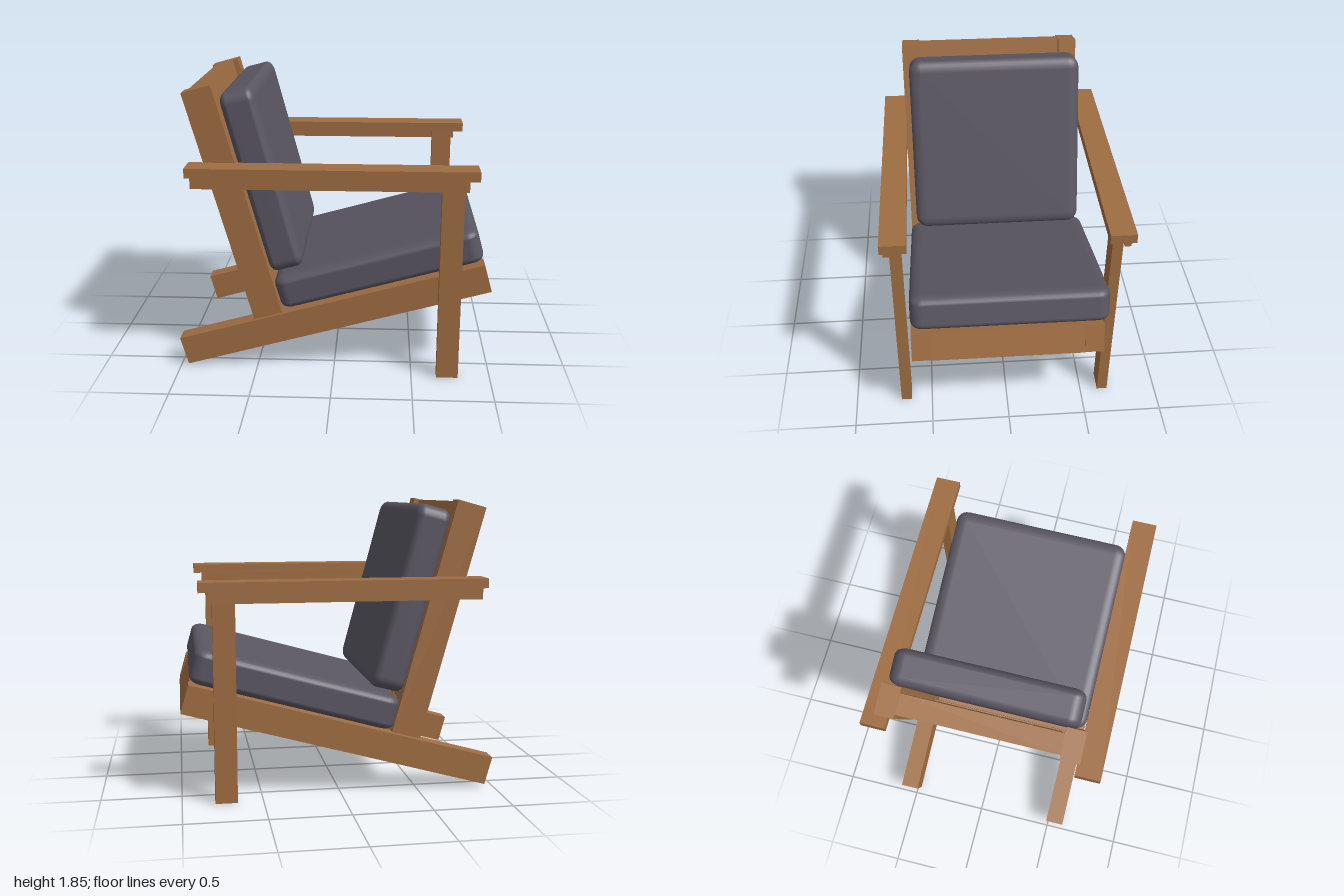
import * as THREE from 'three';
import { RoundedBoxGeometry } from 'three/addons/geometries/RoundedBoxGeometry.js';

export function createModel() {
  const chair = new THREE.Group();
  chair.name = 'loungeChair';

  const wood = new THREE.MeshStandardMaterial({ color: 0x9f6d42 });
  wood.name = 'warm wood';
  const fabric = new THREE.MeshStandardMaterial({ color: 0x5a5662 });
  fabric.name = 'grey fabric';

  // Box given by its extents along each axis
  function plank(parent, name, [x0, x1], [y0, y1], [z0, z1]) {
    const mesh = new THREE.Mesh(new THREE.BoxGeometry(x1 - x0, y1 - y0, z1 - z0), wood);
    mesh.position.set((x0 + x1) / 2, (y0 + y1) / 2, (z0 + z1) / 2);
    mesh.name = name;
    parent.add(mesh);
    return mesh;
  }

  function tiltedFrame(name, x, y, angle) {
    const group = new THREE.Group();
    group.name = name;
    group.position.set(x, y, 0.006);
    group.rotation.z = angle;
    chair.add(group);
    return group;
  }

  const sides = [[0.482, 0.6], [-0.6, -0.482]];
  const inner = [-0.482, 0.482];
  const slatZ = [-1.5, -0.5, 0.5, 1.5].map((i) => [i * 0.232 - 0.1025, i * 0.232 + 0.1025]);

  // Seat frame: long sloping rails that double as the rear feet
  const seat = tiltedFrame('seatFrame', -0.002, 0.371, 0.273);
  for (const z of sides) plank(seat, 'seatRail', [-1.012, 1.012], [-0.0925, 0.0925], z);
  const frontBoard = plank(seat, 'seatFrontBoard', [0.89, 1.008], [-0.098, 0.0915], inner);
  frontBoard.rotation.z = 0.06;
  plank(seat, 'seatRearBoard', [-0.44, -0.325], [-0.0925, 0.0925], inner);
  for (const z of slatZ) plank(seat, 'seatSlat', [-0.325, 0.89], [-0.04, 0.02], z);

  // Reclined back frame
  const back = tiltedFrame('backFrame', -0.624, 1.0925, 0.27);
  for (const z of sides) plank(back, 'backPost', [-0.0935, 0.0935], [-0.76, 0.76], z);
  plank(back, 'backTopRail', [-0.068, 0.057], [0.575, 0.758], inner);
  plank(back, 'backBottomRail', [-0.068, 0.057], [-0.758, -0.575], inner);
  for (const z of slatZ) plank(back, 'backSlat', [-0.03, 0.048], [-0.575, 0.575], z);

  // Arms and front legs
  for (const s of [1, -1]) {
    const span = (a, b) => (s > 0 ? [a, b] : [-b, -a]);
    plank(chair, 'armRest', [-0.89, 0.88], [1.313, 1.373], span(0.597, 0.757));
    plank(chair, 'armSupport', [-0.86, 0.82], [1.243, 1.313], span(0.7, 0.74));
    const leg = plank(chair, 'frontLeg', [0.66, 0.797], [0, 1.313], span(0.638, 0.704));
    if (s < 0) {
      leg.position.z = -0.656;
      leg.rotation.x = -0.013;
    }
  }

  // Cushions: edges are softer along the broad faces than through the thickness
  function cushion(name, [length, thickness, width], position, angle) {
    const soft = 1.6;
    const geometry = new RoundedBoxGeometry(length / soft, thickness, width / soft, 3, 0.048);
    geometry.scale(soft, 1, soft);
    const mesh = new THREE.Mesh(geometry, fabric);
    mesh.position.set(...position);
    mesh.rotation.z = angle;
    mesh.name = name;
    chair.add(mesh);
  }
  cushion('seatCushion', [1.335, 0.224, 1.24], [0.28, 0.676, -0.013], 0.273);
  cushion('backCushion', [1.195, 0.226, 1.152], [-0.452, 1.229, -0.014], 0.26 + Math.PI / 2);

  return chair;
}
